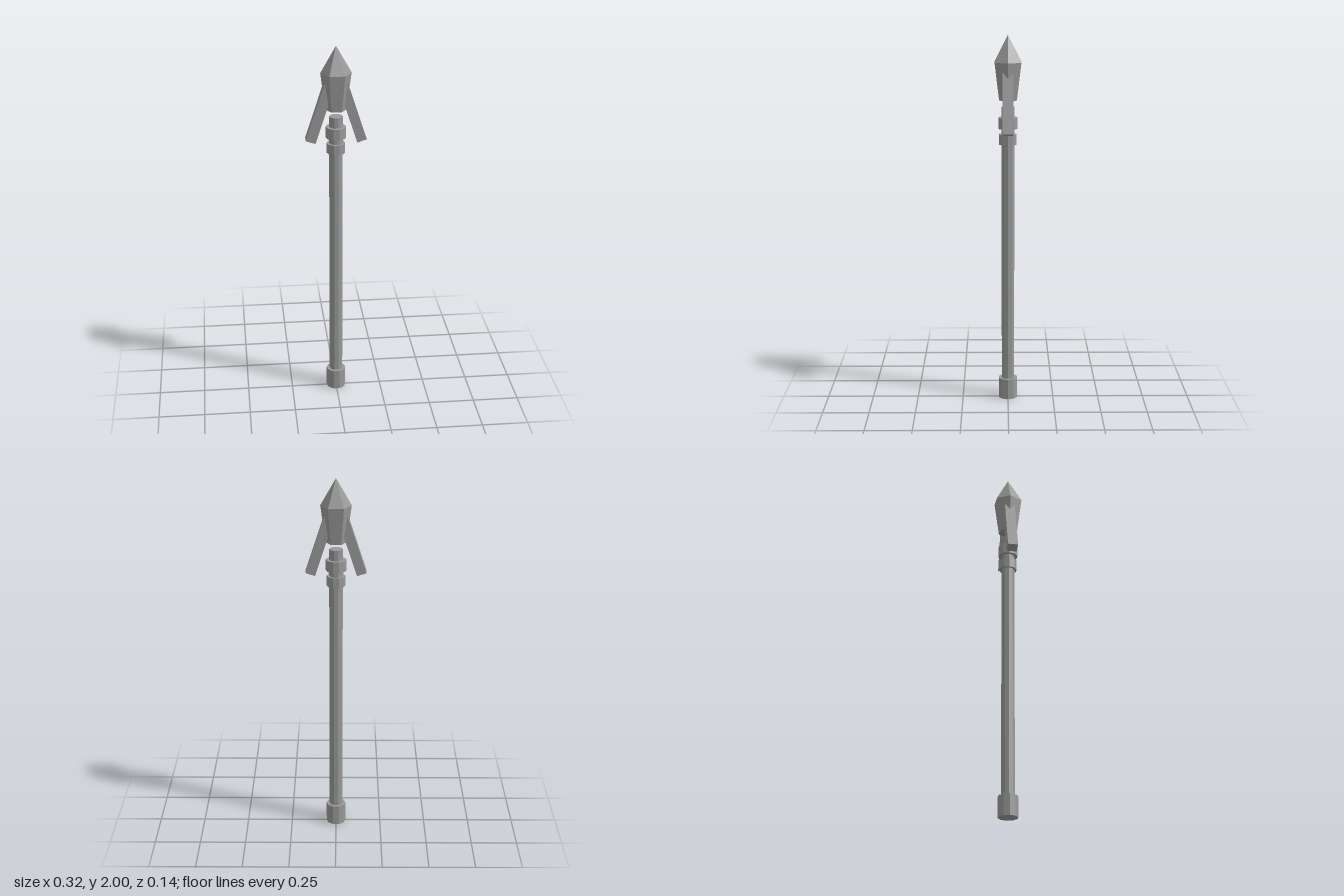
import * as THREE from 'three';

export function createModel() {
  const group = new THREE.Group();
  const steel = new THREE.MeshStandardMaterial({ color: 0x999999 });
  steel.name = 'grey steel';
  steel.flatShading = true;

  const add = (name, geometry) => {
    const mesh = new THREE.Mesh(geometry, steel);
    mesh.name = name;
    group.add(mesh);
    return mesh;
  };

  // Ten-sided upright cylinder between two heights, corners on the x axis
  const post = (name, radius, y0, y1) => {
    const g = new THREE.CylinderGeometry(radius, radius, y1 - y0, 10);
    g.rotateY(Math.PI / 2).translate(0, (y0 + y1) / 2, 0);
    return add(name, g);
  };

  // Pole with its foot cap and two collars
  post('shaft', 0.036, 0.02, 1.622);
  post('footCap', 0.053, 0, 0.113);
  post('lowerCollar', 0.049, 1.42, 1.475);
  post('upperCollar', 0.054, 1.505, 1.565);

  // Hexagonal spear head, floating just above the shaft
  const profile = [[0, 1.648], [0.054, 1.658], [0.0815, 1.857], [0, 2]]
    .map(([r, y]) => new THREE.Vector2(r, y));
  add('spearHead', new THREE.LatheGeometry(profile, 6).rotateY(Math.PI / 2));

  // Swept-back barbs, rooted inside the head
  const tilt = THREE.MathUtils.degToRad(18);
  const length = 0.36;
  for (const side of [1, -1]) {
    const g = new THREE.BoxGeometry(0.053, length, 0.056);
    g.translate(0, length / 2, 0);
    const barb = add(side > 0 ? 'leftBarb' : 'rightBarb', g);
    barb.position.set(side * 0.135, 1.49, 0);
    barb.rotation.z = side * tilt;
  }
  return group;
}
